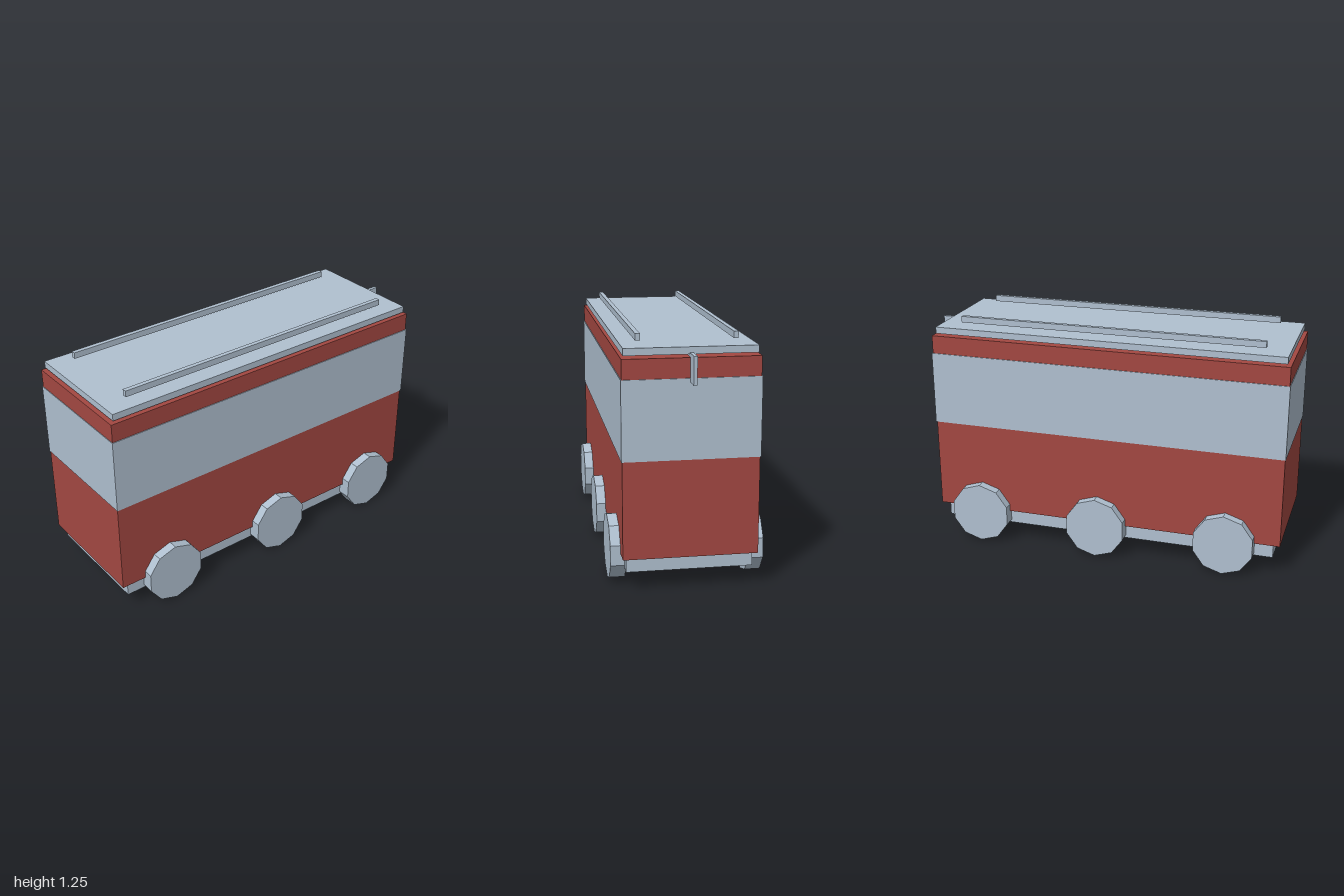
import * as THREE from 'three';

export function createModel() {
  const model = new THREE.Group();
  model.name = 'wagon';

  const red = new THREE.MeshStandardMaterial({ color: 0xa34842 });
  red.name = 'brick red';
  const grey = new THREE.MeshStandardMaterial({ color: 0xb0c0d0 });
  grey.name = 'pale blue grey';

  const add = (name, geometry, material) => {
    const mesh = new THREE.Mesh(geometry, material);
    mesh.name = name;
    model.add(mesh);
    return mesh;
  };

  // Box given by its limits on each axis
  const box = (name, material, [x0, x1], [y0, y1], [z0, z1]) => {
    const mesh = add(name, new THREE.BoxGeometry(x1 - x0, y1 - y0, z1 - z0), material);
    mesh.position.set((x0 + x1) / 2, (y0 + y1) / 2, (z0 + z1) / 2);
    return mesh;
  };

  // Body, with the window band wrapped around it
  box('chassis', grey, [-0.96, 0.88], [0.1, 0.178], [-0.313, 0.313]);
  box('body', red, [-0.997, 0.92], [0.178, 1.157], [-0.333, 0.333]);
  box('windowBand', grey, [-1, 0.925], [0.667, 1.06], [-0.337, 0.337]);

  // Roof panel and the end bracket
  box('roof', grey, [-0.98, 0.9], [1.169, 1.204], [-0.323, 0.323]);
  box('endBracket', grey, [0.823, 1], [1.04, 1.177], [-0.009, 0.009]);

  // Ten-sided wheels, a corner pointing straight down
  const wheel = new THREE.CylinderGeometry(0.166, 0.166, 0.078, 10).toNonIndexed();
  wheel.rotateX(Math.PI / 2);
  wheel.computeVertexNormals();

  for (const [side, s] of [['left', 1], ['right', -1]].map(([, s]) => [s > 0 ? 'front' : 'back', s])) {
    box(side + 'RoofRail', grey, [-0.86, 0.78], [1.22, 1.253], [s * 0.238 - 0.012, s * 0.238 + 0.012]);
    [-0.703, 0, 0.666].forEach((x, i) => {
      add(side + 'Wheel' + (i + 1), wheel, grey).position.set(x, 0.167, s * 0.344);
    });
  }

  return model;
}
